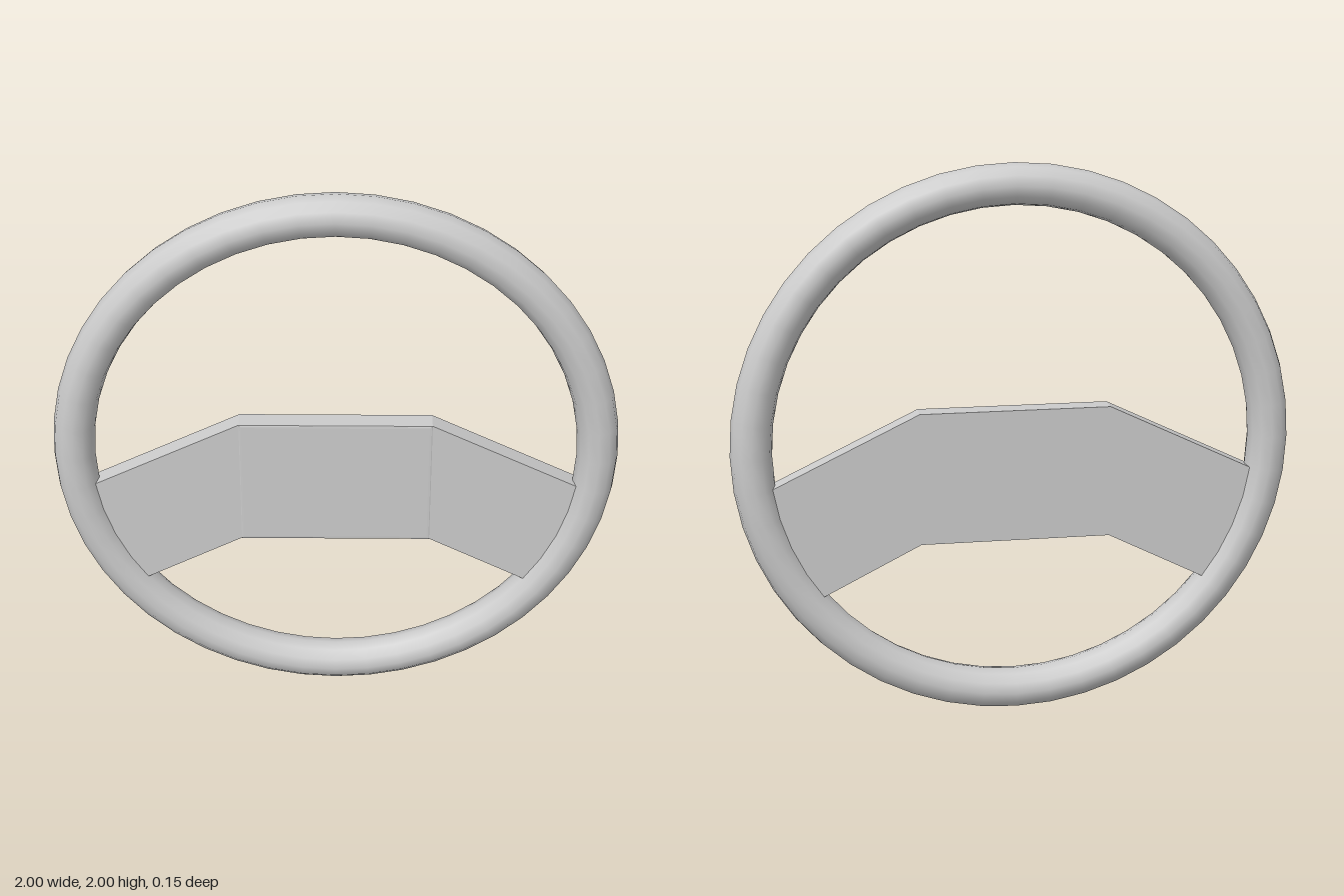
import * as THREE from 'three';

const material = new THREE.MeshStandardMaterial({ color: 0xcccccc });

function addPart(group, name, geometry) {
  const mesh = new THREE.Mesh(geometry, material);
  mesh.name = name;
  group.add(mesh);
  return mesh;
}

export function createModel() {
  const wheel = new THREE.Group();
  wheel.name = 'steeringWheel';

  // Round rim, standing upright
  const rim = addPart(wheel, 'rim', new THREE.TorusGeometry(0.927, 0.073, 12, 48));
  rim.position.y = 1;

  // Flat plate: centre and two drooping spokes whose ends sink into the rim
  const right = [[0.34, 1.135], [0.91, 0.861], [0.76, 0.443], [0.34, 0.655]];
  const left = right.map(([x, y]) => [-x, y]).reverse();
  const outline = [...right, ...left].map(([x, y]) => new THREE.Vector2(x, y));
  const thickness = 0.075;
  const plate = addPart(wheel, 'spokePlate', new THREE.ExtrudeGeometry(
    new THREE.Shape(outline), { depth: thickness, bevelEnabled: false }));
  plate.position.z = -thickness / 2;

  // Barely raised pad on the front of the centre, with a soft chamfer
  const pad = new THREE.Shape();
  pad.moveTo(-0.33, 0.665).lineTo(0.33, 0.665).lineTo(0.33, 1.125).lineTo(-0.33, 1.125).closePath();
  const centrePad = addPart(wheel, 'centrePad', new THREE.ExtrudeGeometry(pad, {
    depth: 0.001, bevelSize: 0.01, bevelThickness: 0.002, bevelSegments: 2,
  }));
  centrePad.position.z = thickness / 2;

  return wheel;
}
